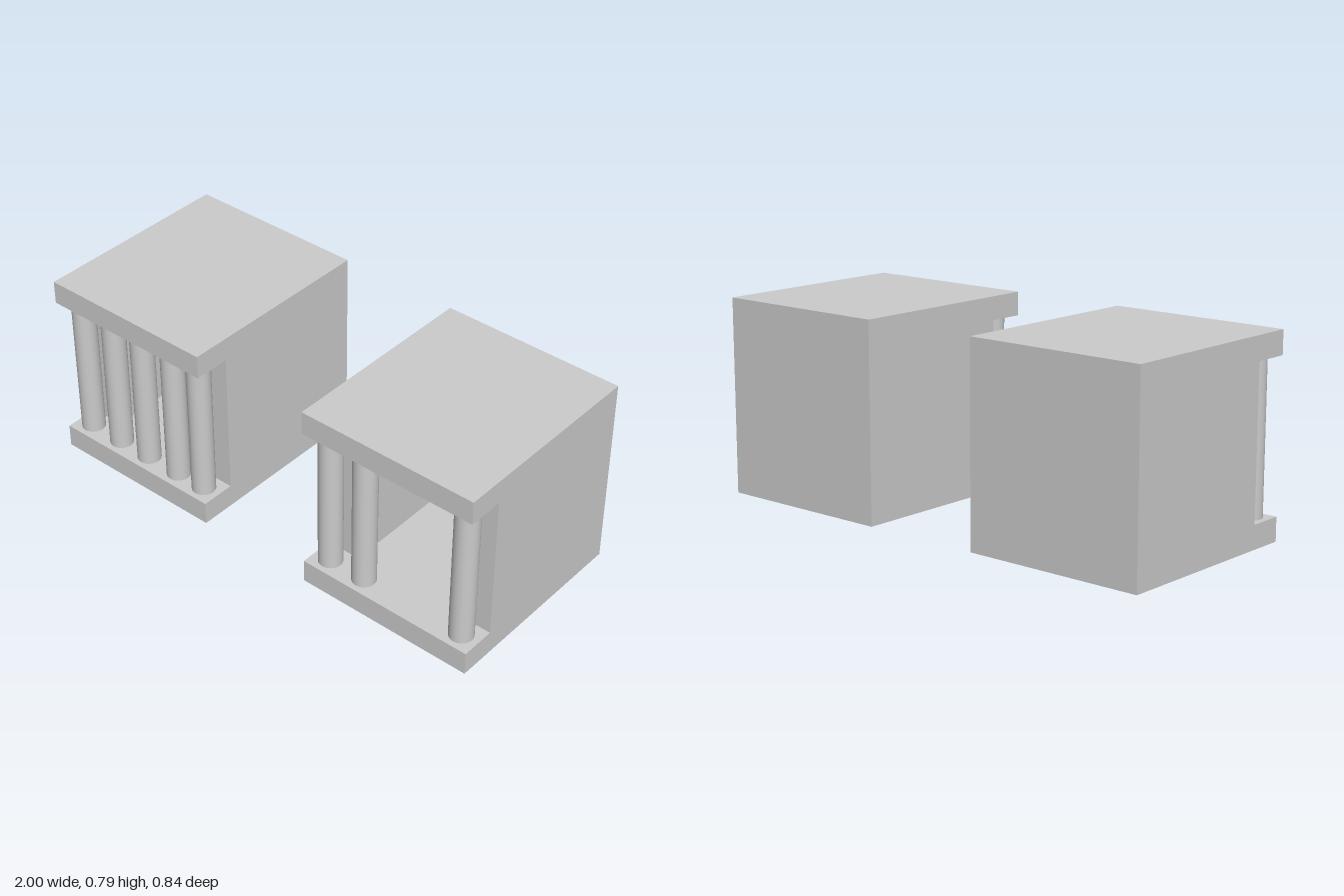
import * as THREE from 'three';

const W = 0.75, WALL = 0.143, SLAB = 0.095, HEIGHT = 0.79;
const BACK = -0.42, WALL_FRONT = 0.275;
const BAR_R = 0.0475, BAR_Z = 0.347, BAR_X = [0.07, 0.23, 0.383, 0.543, 0.677];
const ROOM = HEIGHT - 2 * SLAB;

const material = new THREE.MeshStandardMaterial({ color: 0xcccccc });

function addMesh(parent, geometry, name, x, y, z) {
  const mesh = new THREE.Mesh(geometry, material);
  mesh.name = name;
  mesh.position.set(x, y, z);
  parent.add(mesh);
}

// Flat slab spanning the cell width, from the back to the given front edge
function addSlab(parent, name, y, front) {
  const depth = front - BACK;
  addMesh(parent, new THREE.BoxGeometry(W, SLAB, depth), name, W / 2, y + SLAB / 2, BACK + depth / 2);
}

// U-shaped plan (two sides and the back), raised between floor and roof
function wallGeometry() {
  const f = -WALL_FRONT, b = -BACK, i = b - WALL;
  const plan = new THREE.Shape([
    [0, f], [WALL, f], [WALL, i], [W - WALL, i],
    [W - WALL, f], [W, f], [W, b], [0, b],
  ].map(([x, y]) => new THREE.Vector2(x, y)));
  const geometry = new THREE.ExtrudeGeometry(plan, { depth: ROOM, bevelEnabled: false });
  return geometry.rotateX(-Math.PI / 2);
}

function createCell(name, x, barSlots) {
  const cell = new THREE.Group();
  cell.name = name;
  cell.position.x = x;
  addSlab(cell, 'floor', 0, 0.417);
  addSlab(cell, 'roof', HEIGHT - SLAB, 0.423);
  addMesh(cell, wallGeometry(), 'walls', 0, SLAB, 0);
  // Round bars across the open front
  const bar = new THREE.CylinderGeometry(BAR_R, BAR_R, ROOM, 32);
  for (const slot of barSlots) {
    addMesh(cell, bar, 'bar', BAR_X[slot], HEIGHT / 2, BAR_Z);
  }
  return cell;
}

export function createModel() {
  const model = new THREE.Group();
  model.name = 'cells';
  model.add(createCell('closedCell', -1, [0, 1, 2, 3, 4]));
  // Two bars are missing from the second cell
  model.add(createCell('brokenCell', 0.25, [0, 1, 4]));
  return model;
}
